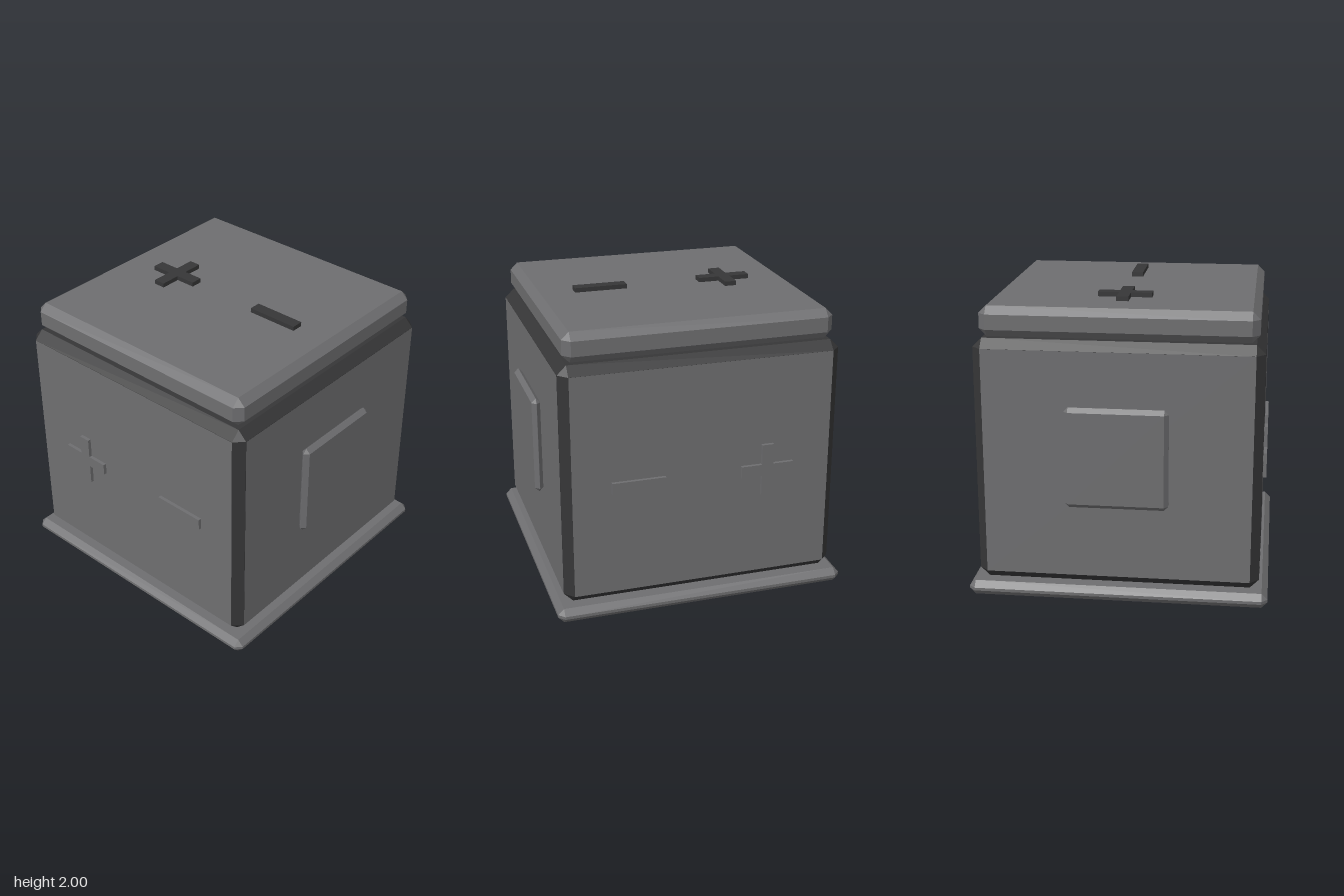
import * as THREE from 'three';
import { ConvexGeometry } from 'three/addons/geometries/ConvexGeometry.js';

const grey = new THREE.MeshStandardMaterial({ color: 0x6e6e70, flatShading: true });
const dark = new THREE.MeshStandardMaterial({ color: 0x363637, flatShading: true });

// Box with flat 45-degree chamfers on every edge
function chamferBox(name, w, h, d, c, material) {
  const pts = [];
  for (const sx of [-1, 1]) for (const sy of [-1, 1]) for (const sz of [-1, 1]) {
    for (let axis = 0; axis < 3; axis++) {
      const [x, y, z] = [w, h, d].map((s, i) => s / 2 - (i === axis ? 0 : c));
      pts.push(new THREE.Vector3(sx * x, sy * y, sz * z));
    }
  }
  const mesh = new THREE.Mesh(new ConvexGeometry(pts), material);
  mesh.name = name;
  return mesh;
}

// A plus and a minus mark lying in the xy plane, extruded towards +z
function marks(name, depth, material) {
  const group = new THREE.Group();
  group.name = name;
  const a = 0.04, l = 0.18;
  const cross = [[-a, l], [-a, a], [-l, a], [-l, -a], [-a, -a], [-a, -l],
    [a, -l], [a, -a], [l, -a], [l, a], [a, a], [a, l]];
  const shape = new THREE.Shape(cross.map(([x, y]) => new THREE.Vector2(x, y)));
  const plus = new THREE.Mesh(
    new THREE.ExtrudeGeometry(shape, { depth, bevelEnabled: false }), material);
  plus.name = 'plusMark';
  plus.position.x = -0.44;
  const minus = new THREE.Mesh(new THREE.BoxGeometry(2 * l, 2 * a, depth), material);
  minus.name = 'minusMark';
  minus.position.set(0.44, 0, depth / 2);
  group.add(plus, minus);
  return group;
}

export function createModel() {
  const model = new THREE.Group();
  model.name = 'chamferedCube';

  // Base plate, body frame and lid
  const base = chamferBox('basePlate', 2, 0.1, 2, 0.04, grey);
  base.position.y = 0.055;
  const body = chamferBox('bodyFrame', 1.88, 1.655, 1.88, 0.06, dark);
  body.position.y = 0.9375;
  const lid = chamferBox('lid', 1.8, 0.2, 1.8, 0.05, grey);
  lid.position.y = 1.87;
  model.add(base, body, lid);

  // Grey panels on the four body sides
  for (let i = 0; i < 4; i++) {
    const angle = i * Math.PI / 2;
    const panel = new THREE.Mesh(new THREE.PlaneGeometry(1.76, 1.535), grey);
    panel.name = 'sidePanel';
    panel.rotation.y = angle;
    panel.position.set(0.942 * Math.sin(angle), 0.9375, 0.942 * Math.cos(angle));
    model.add(panel);
  }

  // Square buttons on the left and right
  for (const side of [-1, 1]) {
    const button = chamferBox(side > 0 ? 'leftButton' : 'rightButton', 0.06, 0.68, 0.68, 0.029, grey);
    button.position.set(side * 0.97, 1.005, 0);
    model.add(button);
  }

  // Raised marks: front, back, top and bottom
  const front = marks('frontMarks', 0.035, grey);
  front.position.set(0, 0.925, 0.93);
  const back = marks('backMarks', 0.035, grey);
  back.position.set(0, 0.925, -0.965);
  const top = marks('topMarks', 0.04, dark);
  top.rotation.x = -Math.PI / 2;
  top.position.y = 1.96;
  const bottom = marks('bottomMarks', 0.03, dark);
  bottom.rotation.x = Math.PI / 2;
  bottom.position.y = 0.03;
  model.add(front, back, top, bottom);

  return model;
}
